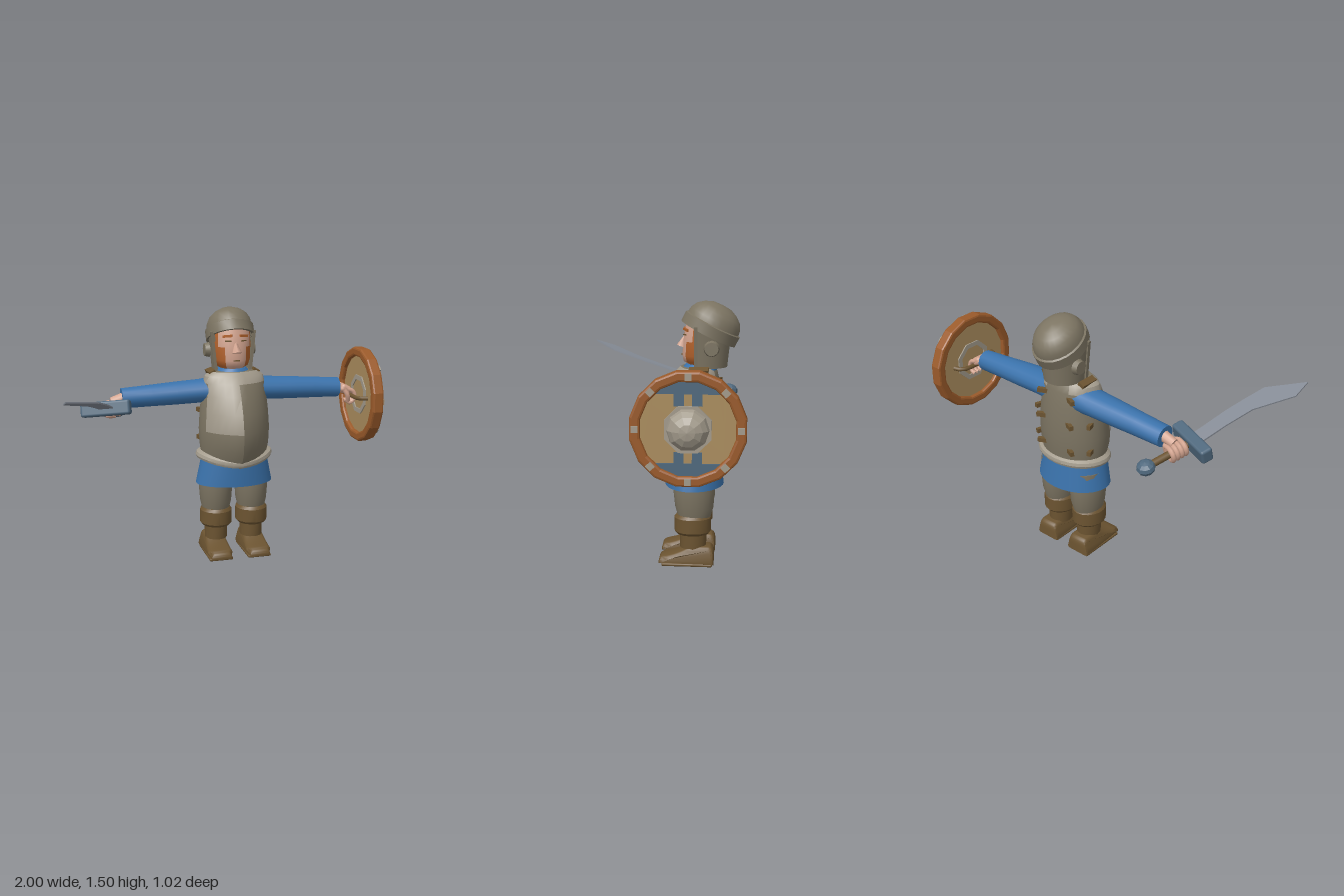
import * as THREE from 'three';
import { toCreasedNormals } from 'three/addons/utils/BufferGeometryUtils.js';
import { RoundedBoxGeometry } from 'three/addons/geometries/RoundedBoxGeometry.js';

const mat = (name, color, side = THREE.FrontSide) => Object.assign(new THREE.MeshStandardMaterial({ color, side }), { name });
const M = {
  iron: mat('dull iron', 0x7c7462, THREE.DoubleSide),
  pale: mat('pale iron', 0xa39b8c),
  blue: mat('blue cloth', 0x3a72ab, THREE.DoubleSide),
  leather: mat('brown leather', 0x6c5431),
  hair: mat('ginger hair', 0xb3622c),
  rim: mat('red wood', 0x9a5a2a),
  tan: mat('tan wood', 0xab8d5e),
  slate: mat('slate paint', 0x4f687d),
  skin: mat('skin', 0xd3a48f),
  blade: mat('blade steel', 0x868c96, THREE.DoubleSide),
};

function add(parent, name, geo, material, pos = [0, 0, 0], rot = [0, 0, 0]) {
  const m = new THREE.Mesh(geo, material);
  m.name = name;
  m.position.set(...pos);
  m.rotation.set(...rot);
  parent.add(m);
  return m;
}
const box = (w, h, d, r = 0) => r ? new RoundedBoxGeometry(w, h, d, 2, r) : new THREE.BoxGeometry(w, h, d);

// Skin of horizontal rings [y, halfWidth, zFront, zBack, dip]; keel sharpens the front
function loft(rings, { n = 24, cz = -0.2, cx = 0, keel = 0, caps = true, pick = () => 0, mats = 1, crease = 0.6 } = {}) {
  const pos = [], faces = Array.from({ length: mats }, () => []);
  for (const [y, hw, zf, zb, dip = 0] of rings)
    for (let j = 0; j < n; j++) {
      const a = j / n * Math.PI * 2, s = Math.sin(a), c = Math.cos(a);
      const f = c > 0 ? c * (1 - keel) + (1 - Math.abs(s)) * keel : c;
      pos.push(cx + hw * s, y - dip * Math.max(0, c) ** 2, cz + f * (c > 0 ? zf - cz : cz - zb));
    }
  for (let i = 0; i < rings.length - 1; i++)
    for (let j = 0; j < n; j++) {
      const a = i * n + j, b = i * n + (j + 1) % n;
      const k = pick((j + 0.5) / n * Math.PI * 2, (rings[i][0] + rings[i + 1][0]) / 2);
      faces[k].push(a, b, b + n, a, b + n, a + n);
    }
  if (caps) for (const [i, up] of [[0, false], [rings.length - 1, true]]) {
    const c = pos.length / 3;
    pos.push(cx, rings[i][0], cz);
    for (let j = 0; j < n; j++) {
      const a = i * n + j, b = i * n + (j + 1) % n;
      faces[0].push(...(up ? [a, b, c] : [b, a, c]));
    }
  }
  const g = new THREE.BufferGeometry();
  g.setAttribute('position', new THREE.Float32BufferAttribute(pos, 3));
  g.setIndex(faces.flat());
  let start = 0;
  faces.forEach((f, k) => { g.addGroup(start, f.length, k); start += f.length; });
  if (mats === 1) g.clearGroups();
  return toCreasedNormals(g, crease);
}

const tube = (pts, r) => new THREE.TubeGeometry(new THREE.CatmullRomCurve3(pts.map(p => new THREE.Vector3(...p))), 10, r, 8);
const polygon = (n, r, P = THREE.Shape) => new P(Array.from({ length: n }, (_, i) => {
  const a = (i + 0.5) / n * Math.PI * 2;
  return new THREE.Vector2(r * Math.cos(a), r * Math.sin(a));
}));
const extrude = (shape, depth, bevel = 0) => new THREE.ExtrudeGeometry(shape, {
  depth, bevelEnabled: bevel > 0, bevelSize: bevel, bevelThickness: bevel, bevelOffset: -bevel, bevelSegments: 2, curveSegments: 8 });

function buildLeg(body, s) {
  const leg = new THREE.Group();
  leg.name = s > 0 ? 'leftLeg' : 'rightLeg';
  body.add(leg);
  const cx = s * 0.112;
  add(leg, 'trousers', loft([[0.27, 0.08, -0.13, -0.31], [0.34, 0.095, -0.11, -0.33], [0.43, 0.102, -0.1, -0.335],
    [0.56, 0.098, -0.1, -0.33]], { cx, cz: -0.215, n: 18 }), M.iron);
  add(leg, 'bootCuff', loft([[0.185, 0.085, -0.118, -0.305], [0.2, 0.097, -0.107, -0.317], [0.28, 0.097, -0.105, -0.317],
    [0.297, 0.085, -0.118, -0.305]], { cx, cz: -0.21, n: 18 }), M.leather);
  add(leg, 'bootShaft', loft([[0.1, 0.068, -0.14, -0.29], [0.2, 0.07, -0.138, -0.292]], { cx, cz: -0.215, n: 16 }), M.leather);
  // Foot: side outline, narrowed towards the top and the toe
  const side = new THREE.Shape();
  side.moveTo(0.02, 0.012);
  side.lineTo(0.335, 0.012);
  side.lineTo(0.335, 0.06);
  side.quadraticCurveTo(0.335, 0.115, 0.3, 0.115);
  side.lineTo(0.2, 0.115);
  side.quadraticCurveTo(0.13, 0.07, 0.04, 0.055);
  side.quadraticCurveTo(0.015, 0.04, 0.02, 0.012);
  const foot = extrude(side, 0.12, 0.018).translate(0, 0, -0.06).rotateY(Math.PI / 2);
  const p = foot.attributes.position;
  for (let i = 0; i < p.count; i++)
    p.setX(i, p.getX(i) * (1.05 - 3.2 * Math.max(0, p.getY(i) - 0.015)) * (p.getZ(i) > -0.06 ? 0.82 : 1));
  add(leg, 'boot', toCreasedNormals(foot, 0.7), M.leather, [cx + s * 0.008, 0, 0]);
  add(leg, 'sole', box(0.145, 0.018, 0.29, 0.008), M.leather, [cx + s * 0.008, 0.009, -0.182]);
}

function buildHead(body) {
  const head = new THREE.Group();
  head.name = 'head';
  body.add(head);
  const beard = (a, y) => {
    const s = Math.abs(Math.sin(a));
    return Math.cos(a) > -0.2 && y > 1.15 && s > (y > 1.29 ? 0.85 : 0.6) ? 1 : 0;
  };
  add(head, 'face', loft([[1.08, 0.07, -0.2, -0.33], [1.145, 0.07, -0.18, -0.34], [1.165, 0.1, -0.148, -0.37],
    [1.2, 0.112, -0.14, -0.39], [1.28, 0.116, -0.145, -0.4], [1.35, 0.115, -0.155, -0.4], [1.43, 0.1, -0.18, -0.4]],
    { n: 32, cz: -0.27, pick: beard, mats: 2, crease: 1 }), [M.skin, M.hair]);
  const nose = new THREE.ConeGeometry(0.032, 0.085, 6).translate(0, 0.04, 0);
  add(head, 'nose', nose, M.skin, [0, 1.25, -0.14], [-0.3, 0, 0]);
  add(head, 'mouth', box(0.04, 0.007, 0.008), M.leather, [0, 1.203, -0.14]);
  for (const s of [-1, 1]) {
    add(head, 'eyebrow', box(0.058, 0.014, 0.01), M.hair, [s * 0.05, 1.347, -0.162], [0, s * 0.42, -s * 0.1]);
    add(head, 'eye', box(0.036, 0.006, 0.008), M.leather, [s * 0.047, 1.318, -0.157], [0, s * 0.4, 0]);
    add(head, 'earGuard', new THREE.CylinderGeometry(0.038, 0.046, 0.03, 12), M.iron, [s * 0.14, 1.25, -0.31], [0, 0, -s * Math.PI / 2]);
  }
  // Tilted helmet with band, and the guard hanging behind it
  const helmet = new THREE.Group();
  helmet.name = 'helmet';
  helmet.position.set(0, 1.32, -0.285);
  helmet.rotation.x = -0.46;
  head.add(helmet);
  const dome = [[0.158, 0.06], [0.153, 0.095], [0.133, 0.13], [0.1, 0.156], [0.06, 0.174], [0, 0.18]];
  const band = [[0.15, 0], [0.168, 0], [0.168, 0.06], [0.156, 0.066]];
  const turn = pts => toCreasedNormals(new THREE.LatheGeometry(pts.map(q => new THREE.Vector2(...q)), 24).scale(0.86, 1, 1), 0.6);
  add(helmet, 'dome', turn(dome), M.iron);
  add(helmet, 'band', turn(band), M.iron);
  for (const r of [0, 0.014])
    add(head, 'neckGuard', new THREE.CylinderGeometry(0.136 - r, 0.114 - r, 0.22, 20, 1, true, Math.PI * 0.36, Math.PI * 1.28)
      .scale(1, 1, 1.05), M.iron, [0, 1.245, -0.275]);
  for (const s of [-1, 1])
    add(head, 'cheekFlap', box(0.018, 0.24, 0.02), M.iron, [s * 0.118, 1.25, -0.222], [0, 0, -s * 0.1]);
}

function buildTorso(body) {
  const patch = (a, y) => y > 1.06 && Math.cos(a) > -0.9 ? 1
    : y > 0.8 && Math.cos(a) > 0.5 && Math.sin(a) < 0 ? 1 : 0;
  add(body, 'cuirass', loft([[0.62, 0.2, -0.025, -0.36, 0.04], [0.7, 0.211, 0.025, -0.37, 0.02], [0.79, 0.215, 0.036, -0.375],
    [0.9, 0.208, 0.012, -0.372], [1, 0.197, -0.035, -0.362], [1.07, 0.188, -0.075, -0.35], [1.11, 0.178, -0.105, -0.34],
    [1.135, 0.14, -0.13, -0.325]], { n: 28, keel: 0.3, pick: patch, mats: 2 }), [M.iron, M.pale]);
  add(body, 'cuirassHem', loft([[0.61, 0.2, -0.04, -0.355, 0.04], [0.617, 0.23, -0.018, -0.378, 0.04], [0.632, 0.236, -0.01, -0.384, 0.04],
    [0.65, 0.23, -0.012, -0.38, 0.04], [0.662, 0.205, -0.025, -0.36, 0.04]], { n: 28, keel: 0.2, caps: false }), M.pale);
  add(body, 'tunicSkirt', loft([[0.455, 0.235, -0.045, -0.385], [0.63, 0.198, -0.04, -0.36]], { n: 28, caps: false }), M.blue);
  add(body, 'tunicSeat', loft([[0.5, 0.1, -0.1, -0.32], [0.54, 0.205, -0.06, -0.36]], { n: 20 }), M.blue);
  add(body, 'collar', loft([[1.12, 0.115, -0.135, -0.34], [1.15, 0.082, -0.16, -0.345]], { cz: -0.25 }), M.blue);
  // Buckled straps across the back and over the shoulders
  for (const s of [-1, 1]) {
    for (const [y, z] of [[0.72, -0.352], [0.89, -0.355], [1.04, -0.34]]) {
      add(body, 'backStrap', box(0.08, 0.026, 0.022), M.leather, [s * 0.095, y, z], [0, s * 0.42, 0]);
      add(body, 'sideStrap', box(0.022, 0.026, 0.07), M.leather, [s * 0.188, y, -0.275], [0, -s * 0.3, 0]);
    }
    add(body, 'shoulderStrap', box(0.04, 0.02, 0.11), M.leather, [s * 0.135, 1.13, -0.24], [0, 0, -s * 0.4]);
  }
}

function buildSword(root) {
  const sword = new THREE.Group();
  sword.name = 'sword';
  sword.position.set(-0.71, 0.96, -0.14);
  sword.rotation.set(-0.278, -0.36, 0);
  root.add(sword);
  const outline = [[-0.033, 0], [-0.033, 0.055], [-0.018, 0.207], [-0.011, 0.382], [-0.078, 0.617], [-0.033, 0.735],
    [0.088, 0.533], [0.085, 0.4], [0.078, 0.27], [0.061, 0.133], [0.046, 0]];
  add(sword, 'blade', extrude(new THREE.Shape(outline.map(q => new THREE.Vector2(...q))), 0.008).rotateX(Math.PI / 2), M.blade, [0, 0.004, 0]);
  add(sword, 'guard', box(0.29, 0.085, 0.07, 0.015), M.slate);
  add(sword, 'grip', new THREE.CylinderGeometry(0.021, 0.021, 0.27, 10), M.leather, [0, 0, -0.14], [Math.PI / 2, 0, 0]);
  add(sword, 'pommel', toCreasedNormals(new THREE.SphereGeometry(0.052, 10, 6), 0.3).scale(1, 0.75, 1), M.slate, [0, 0, -0.29]);
  // Hand closed around the grip
  add(sword, 'swordPalm', box(0.05, 0.085, 0.105, 0.022), M.skin, [0.04, 0, -0.1]);
  for (let i = 0; i < 4; i++) {
    const z = -0.14 + i * 0.026;
    add(sword, 'swordFinger', tube([[0.035, 0.032, z], [-0.01, 0.036, z], [-0.036, 0.006, z], [-0.018, -0.034, z], [0.025, -0.034, z]], 0.015), M.skin);
  }
}

function buildShield(root) {
  const shield = new THREE.Group();
  shield.name = 'shield';
  shield.position.set(0.855, 0.945, -0.222);
  shield.rotation.y = Math.PI / 2;
  root.add(shield);
  const ring = polygon(16, 0.294);
  ring.holes.push(polygon(16, 0.24, THREE.Path));
  add(shield, 'rim', extrude(ring, 0.046, 0.012), M.rim, [0, 0, 0.012]);
  add(shield, 'backBoards', extrude(polygon(16, 0.25), 0.015), M.tan, [0, 0, 0.025]);
  for (let i = 0; i < 4; i++) {
    const sector = new THREE.Shape();
    sector.moveTo(0, 0);
    sector.absarc(0, 0, 0.246, (i - 0.5) * Math.PI / 2, (i + 0.5) * Math.PI / 2);
    add(shield, 'paintedQuarter', extrude(sector, 0.008), i % 2 ? M.slate : M.tan, [0, 0, 0.04]);
  }
  for (const s of [-1, 1]) for (const x of [-0.045, 0.045])
    add(shield, 'plankBatten', box(0.05, 0.12, 0.006), M.slate, [x, s * 0.175, 0.049]);
  for (let i = 0; i < 8; i++) {
    const a = i * Math.PI / 4;
    add(shield, 'rivet', box(0.034, 0.034, 0.02), M.pale, [0.262 * Math.cos(a), 0.262 * Math.sin(a), 0.068], [0, 0, a]);
  }
  add(shield, 'bossPlate', extrude(polygon(8, 0.126), 0.02), M.pale, [0, 0, 0.045]);
  const dome = new THREE.SphereGeometry(0.108, 10, 4, 0, Math.PI * 2, 0, Math.PI / 2).scale(1, 0.77, 1).rotateX(Math.PI / 2);
  add(shield, 'bossDome', toCreasedNormals(dome, 0.05), M.pale, [0, 0, 0.062]);
  const collar = polygon(8, 0.125);
  collar.holes.push(polygon(8, 0.095, THREE.Path));
  add(shield, 'backCollar', extrude(collar, 0.01), M.pale, [0, 0, 0.018]);
  add(shield, 'handle', tube([[-0.15, 0, 0.025], [-0.13, 0, -0.025], [0, 0, -0.038], [0.13, 0, -0.025], [0.15, 0, 0.025]], 0.013), M.leather);
}

export function createModel() {
  const root = new THREE.Group();
  root.name = 'shieldWarrior';
  const body = new THREE.Group();
  body.name = 'body';
  body.position.x = 0.068;
  root.add(body);
  buildTorso(body);
  buildHead(body);
  for (const s of [-1, 1]) {
    buildLeg(body, s);
    // Sleeve: rings along the arm, laid on its side
    const sleeve = loft([[0.1, 0.078, 0.1, -0.1], [0.2, 0.07, 0.092, -0.092], [0.35, 0.068, 0.083, -0.083],
      [0.5, 0.064, 0.072, -0.072], [0.672, 0.06, 0.064, -0.064]], { cz: 0, n: 16 }).rotateZ(-Math.PI / 2);
    const holder = new THREE.Group();
    holder.name = s > 0 ? 'leftArm' : 'rightArm';
    holder.position.set(0, 1.025, -0.238);
    holder.rotation.y = s > 0 ? 0 : Math.PI;
    body.add(holder);
    add(holder, 'sleeve', sleeve, M.blue, [0, 0, 0], [0, 0, -0.045]);
    add(holder, 'wrist', new THREE.CylinderGeometry(0.028, 0.034, 0.1, 12), M.skin, [0.685, -0.035, 0], [0, 0, -Math.PI / 2 - 0.3]);
  }
  // Left hand hooked over the shield handle
  add(root, 'shieldPalm', box(0.07, 0.05, 0.1, 0.02), M.skin, [0.785, 0.985, -0.238], [0, 0, -0.45]);
  for (let i = 0; i < 4; i++) {
    const z = -0.277 + i * 0.026;
    add(root, 'shieldFinger', tube([[0.79, 0.985, z], [0.83, 0.97, z], [0.843, 0.94, z], [0.825, 0.905, z], [0.8, 0.9, z]], 0.014), M.skin);
  }
  add(root, 'shieldThumb', tube([[0.77, 0.985, -0.19], [0.79, 0.95, -0.185], [0.8, 0.91, -0.2]], 0.015), M.skin);
  buildSword(root);
  buildShield(root);
  return root;
}
